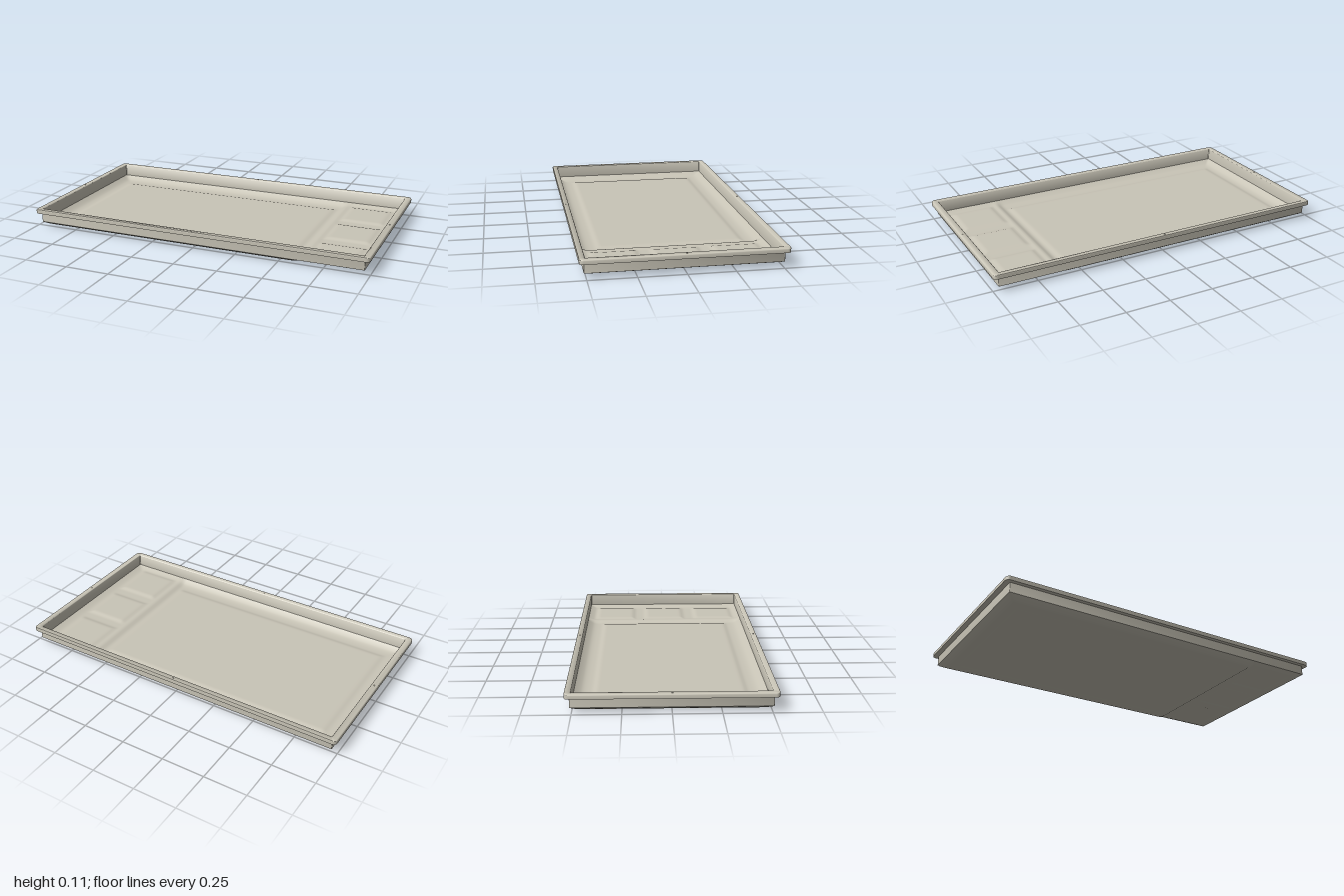
import * as THREE from 'three';
import { toCreasedNormals } from 'three/addons/utils/BufferGeometryUtils.js';

const INNER_X = 0.963, INNER_Z = 0.503, THICK = 0.008;

// Grid surface: point(i, j) gives [x, y, z]; flip reverses the facing
function gridSurface(nu, nv, point, flip = false) {
  const pos = [], idx = [];
  for (let j = 0; j <= nv; j++) for (let i = 0; i <= nu; i++) pos.push(...point(i, j));
  for (let j = 0; j < nv; j++) for (let i = 0; i < nu; i++) {
    const a = j * (nu + 1) + i, b = a + 1, c = a + nu + 1, d = c + 1;
    if (flip) idx.push(a, b, c, b, d, c);
    else idx.push(a, c, b, b, c, d);
  }
  const g = new THREE.BufferGeometry();
  g.setAttribute('position', new THREE.Float32BufferAttribute(pos, 3));
  g.setIndex(idx);
  g.computeVertexNormals();
  return g;
}

const smooth = (v, a, b) => THREE.MathUtils.smoothstep(v, a, b);
// 1 inside a rectangle, easing to 0 over the ramp width at its border
const pad = (x, z, x0, x1, z0, z1, ramp) =>
  smooth(Math.min(x - x0, x1 - x, z - z0, z1 - z), 0, ramp);

// Height of the pressed floor sheet (upper face)
function floorHeight(x, z) {
  let y = 0.008;
  y += 0.007 * pad(x, z, -0.89, 0.57, -0.415, 0.415, 0.035);  // main platform
  y += 0.010 * smooth(x, 0.57, 0.615);                        // step to side strip
  y += 0.004 * pad(x, z, 0.585, 0.645, -0.6, 0.6, 0.025);     // dividing ridge
  for (const c of [-0.325, 0, 0.33])                          // three small pads
    y += 0.008 * pad(x, z, 0.635, 0.915, c - 0.14, c + 0.14, 0.035);
  const d = Math.min(INNER_X - Math.abs(x), INNER_Z - Math.abs(z));
  return THREE.MathUtils.lerp(0.034, y, Math.pow(smooth(d, -0.06, 0.07) * 2 - 1, 1) > 0
    ? smooth(d, -0.06, 0.07) * smooth(d, -0.02, 0.04) : smooth(d, 0, 0.04));
}

// Rounded rectangle outline in x, z
function outline(hx, hz, r, steps = 5) {
  const pts = [];
  const corners = [[1, 1], [-1, 1], [-1, -1], [1, -1]];
  corners.forEach(([sx, sz], k) => {
    for (let s = 0; s <= steps; s++) {
      const t = (k + s / steps) * Math.PI / 2;
      pts.push([sx * (hx - r) + r * Math.cos(t), sz * (hz - r) + r * Math.sin(t)]);
    }
  });
  pts.push(pts[0]);
  return pts;
}

export function createModel() {
  const tray = new THREE.Group();
  tray.name = 'tray';
  const plastic = new THREE.MeshStandardMaterial({ color: 0xc9c5b7 });
  plastic.name = 'warm grey plastic';
  const add = (name, geometry) => {
    const m = new THREE.Mesh(geometry, plastic);
    m.name = name;
    tray.add(m);
    return m;
  };

  // Floor sheet, upper and lower faces
  const NX = 170, NZ = 100;
  const sheet = (grow, drop) => (i, j) => {
    const x = (i / NX * 2 - 1) * INNER_X, z = (j / NZ * 2 - 1) * INNER_Z;
    return [x * (1 + grow / INNER_X), floorHeight(x, z) - drop, z * (1 + grow / INNER_Z)];
  };
  add('floorTop', gridSurface(NX, NZ, sheet(0, 0)));
  add('floorUnderside', gridSurface(NX, NZ, sheet(THICK, THICK), true));

  // Wall and rim profile: [offset outward, height, corner radius]
  const edge = floorHeight(INNER_X, 0);
  const profile = [
    [0, edge, 0.004], [0, 0.102, 0.004], [0.003, 0.105, 0.006],
    [0.031, 0.105, 0.018], [0.035, 0.103, 0.02], [0.037, 0.099, 0.022],
    [0.037, 0.081, 0.022], [THICK, 0.081, 0.005], [THICK, edge - THICK, 0.005],
  ];
  const rings = profile.map(([o, , r]) => outline(INNER_X + o, Math.min(INNER_Z + o, 0.535), r));
  const wall = gridSurface(rings[0].length - 1, profile.length - 1,
    (i, j) => [rings[j][i][0], profile[j][1], rings[j][i][1]], true);
  add('wallAndRim', toCreasedNormals(wall, 0.8));

  // Tiny nubs at the middle of each rim side
  const nub = new THREE.SphereGeometry(0.005, 10, 6);
  for (const [x, z] of [[0.981, 0], [-0.981, 0], [0, 0.519], [0, -0.519]])
    add('rimNub', nub).position.set(x, 0.103, z);

  return tray;
}
